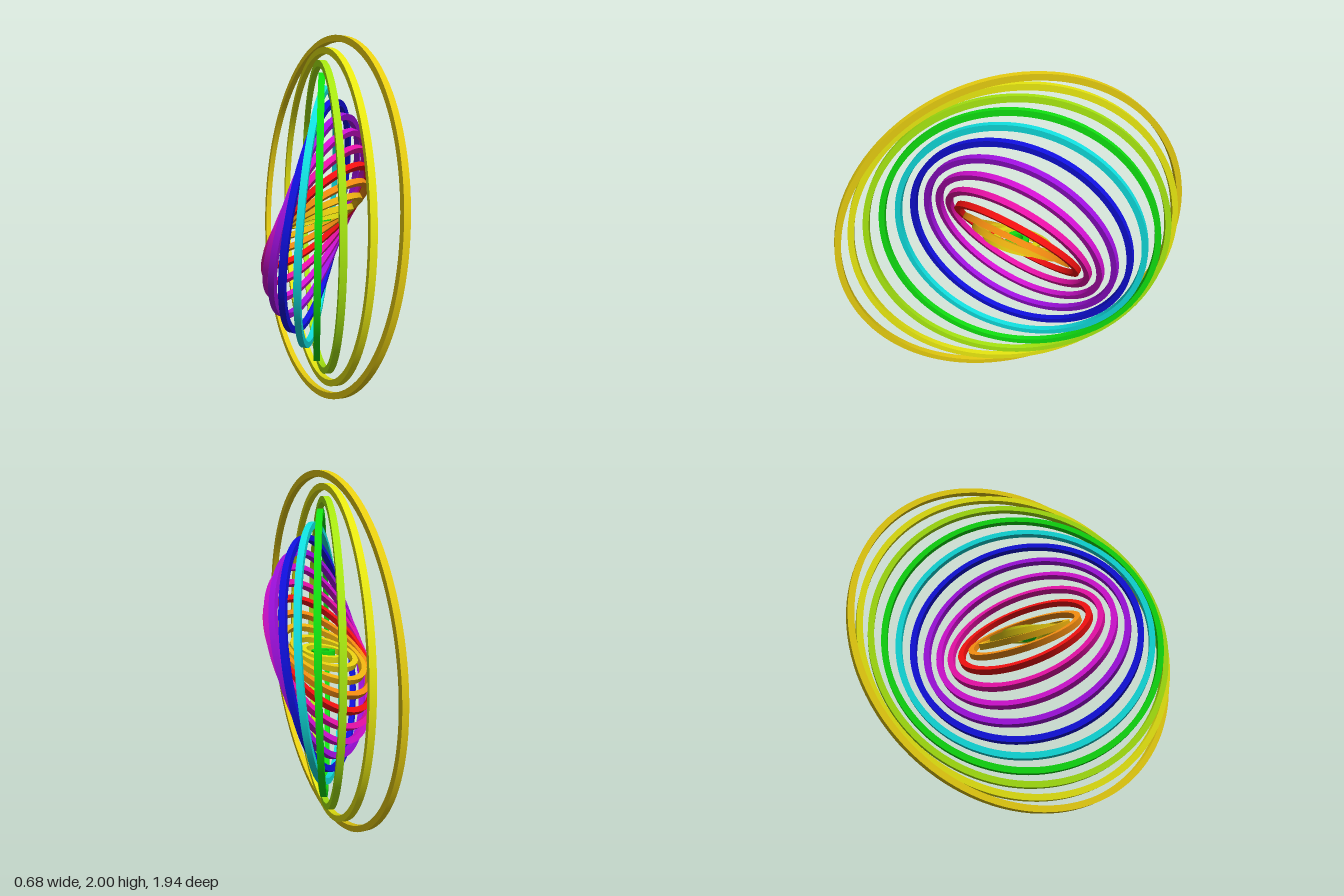
import * as THREE from 'three';

// Ring colours from the innermost outwards
const COLORS = [
  0x10dd10, 0xe6e010, 0xe6cc10, 0xeab010, 0xf08a10, 0xf01010, 0xe610a6, 0xd010d0,
  0xa010e0, 0x1010e0, 0x10e0e0, 0x10e010, 0xa6e610, 0xe6e610, 0xe6cc10,
];
const UNIT = 1 / 15;       // radius step between rings
const WALL = UNIT / 2;     // radial thickness and height of each ring
const STEP = 7.5;          // tilt step in degrees

// Square-section ring around the y axis; doubled profile corners stay sharp
function ringGeometry(outer) {
  const inner = outer - WALL, h = WALL / 2;
  const corners = [[inner, -h], [outer, -h], [outer, h], [inner, h]];
  const points = [];
  corners.forEach((c, i) => {
    const d = corners[(i + 1) % 4];
    points.push(new THREE.Vector2(...c), new THREE.Vector2(...d));
  });
  const geometry = new THREE.LatheGeometry(points, 120);
  // Exact face normals: each profile point belongs to one straight side
  const normal = geometry.attributes.normal;
  const sides = [[0, -1], [1, 0], [0, 1], [-1, 0]];
  for (let i = 0; i < normal.count; i++) {
    const [r, y] = sides[Math.floor((i % 8) / 2)];
    const phi = Math.floor(i / 8) / 120 * Math.PI * 2;
    normal.setXYZ(i, r * Math.sin(phi), y, r * Math.cos(phi));
  }
  return geometry;
}

export function createModel() {
  const model = new THREE.Group();
  model.name = 'nestedRings';
  const up = new THREE.Vector3(0, 1, 0);

  COLORS.forEach((color, i) => {
    const ring = new THREE.Mesh(
      ringGeometry((i + 1) * UNIT),
      new THREE.MeshStandardMaterial({ color }),
    );
    ring.name = `ring${i + 1}`;
    // Equal turns about two axes make the ring axis sweep from vertical to sideways
    const a = THREE.MathUtils.degToRad(i * STEP);
    const s = Math.sin(a), c = Math.cos(a);
    const axis = new THREE.Vector3(-s, c * c, -c * s);
    ring.quaternion.setFromUnitVectors(up, axis.normalize());
    ring.position.y = 1;
    model.add(ring);
  });
  return model;
}
